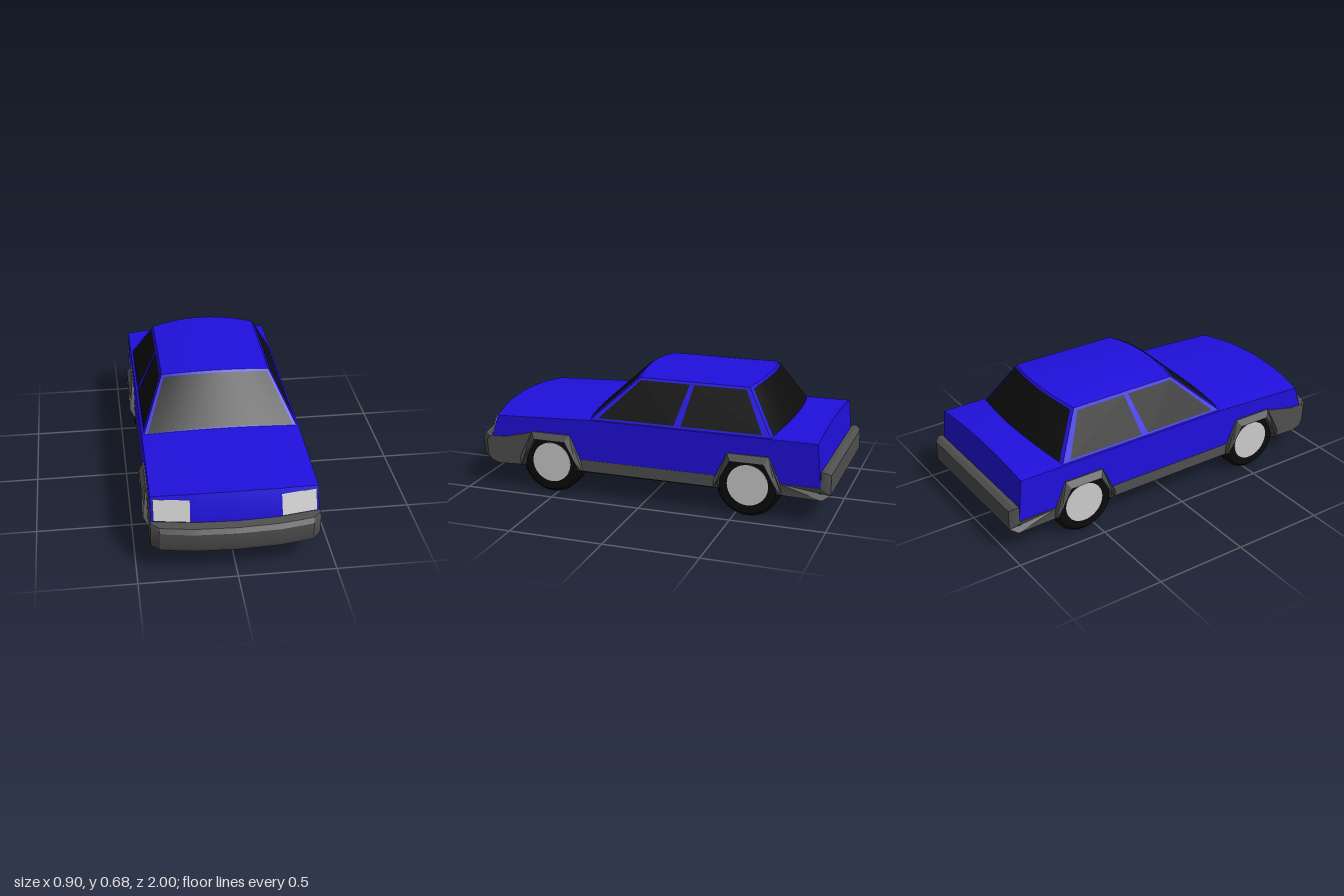
import * as THREE from 'three';
import { toCreasedNormals } from 'three/addons/utils/BufferGeometryUtils.js';

const mat = (color, side = THREE.FrontSide) => new THREE.MeshStandardMaterial({ color, side });
const paint = mat(0x2010dd), paintSheet = mat(0x2010dd, THREE.DoubleSide);
const trim = mat(0x505050), black = mat(0x0a0a0a), glass = mat(0x0d0d0d, THREE.DoubleSide);
const light = mat(0xcccccc), lampMat = mat(0xcccccc, THREE.DoubleSide);
const lerp = THREE.MathUtils.lerp;
const HALF = 0.42;
const WHEEL_Z = [0.53, -0.57];

function add(parent, name, geometry, material) {
  const mesh = new THREE.Mesh(geometry, material);
  mesh.name = name;
  parent.add(mesh);
  return mesh;
}

// Move every vertex by a rule
function deform(geometry, rule) {
  const p = geometry.attributes.position, v = new THREE.Vector3();
  for (let i = 0; i < p.count; i++) {
    rule(v.fromBufferAttribute(p, i));
    p.setXYZ(i, v.x, v.y, v.z);
  }
  return geometry;
}

// Extrude a side profile of [z, y] points across x
function acrossX(profile, x0, x1, steps, rule) {
  const shape = new THREE.Shape(profile.map(([z, y]) => new THREE.Vector2(z, y)));
  const g = new THREE.ExtrudeGeometry(shape, { depth: x1 - x0, steps, bevelEnabled: false });
  g.translate(0, 0, -x1).rotateY(-Math.PI / 2);
  if (rule) deform(g, rule);
  return toCreasedNormals(g, 0.5);
}

// Curved sheet from a function of u and v
function patch(fn, u0, u1, v0, v1, nu = 12, nv = 4) {
  const g = new THREE.PlaneGeometry(1, 1, nu, nv);
  deform(g, p => p.copy(fn(lerp(u0, u1, p.x + 0.5), lerp(v0, v1, p.y + 0.5))));
  g.computeVertexNormals();
  return g;
}

// How far the nose falls back from the centre towards its corners
function noseDrop(x) {
  const a = Math.abs(x) / HALF;
  return a < 0.5 ? 0.02 * a : 0.01 + 0.07 * (a - 0.5);
}

function buildBody(car) {
  const notch = c => [[c - 0.17, 0.2], [c - 0.1, 0.32], [c + 0.1, 0.32], [c + 0.17, 0.2]];
  const profile = [[-0.95, 0.2], ...notch(WHEEL_Z[1]), ...notch(WHEEL_Z[0]), [0.92, 0.2],
    [0.93, 0.285], [0.89, 0.405], [0.3, 0.43], [-0.68, 0.43], [-0.93, 0.43]];
  add(car, 'body', acrossX(profile, -HALF, HALF, 20, p => {
    const a = Math.abs(p.x) / HALF;
    if (p.y > 0.4) p.y += 0.027 * (1 - a * a);
    if (p.z > 0.8) p.z -= noseDrop(p.x);
  }), paint);

  // Underside with cut-outs for the wheels
  const half = [[0.2, 0.945], [0.37, 0.91], [0.41, 0.86], [0.41, 0.7], [0.3, 0.7], [0.3, 0.36],
    [0.41, 0.36], [0.41, -0.4], [0.3, -0.4], [0.3, -0.74], [0.41, -0.74], [0.41, -0.95]];
  const outline = [...half, ...half.map(([x, z]) => [-x, z]).reverse()];
  const floor = new THREE.ExtrudeGeometry(
    new THREE.Shape(outline.map(q => new THREE.Vector2(...q))), { depth: 0.13, bevelEnabled: false });
  add(car, 'underside', floor.rotateX(Math.PI / 2).translate(0, 0.262, 0), black);
}

function buildTrim(car) {
  const front = [[0.69, 0.14], [0.93, 0.132], [0.98, 0.15], [0.995, 0.18], [1, 0.26], [0.985, 0.285],
    [0.9, 0.287], [0.63, 0.33], [0.65, 0.26]];
  add(car, 'frontBumper', acrossX(front, -0.425, 0.425, 20, p => {
    if (p.z < 0.8) return;
    const corner = Math.max(0, Math.abs(p.x) - 0.38) / 0.045;
    p.z -= noseDrop(p.x) + 0.04 * corner;
  }), trim);

  const rear = [[-0.74, 0.2], [-0.95, 0.2], [-0.95, 0.285], [-0.975, 0.285], [-1, 0.268],
    [-1, 0.16], [-0.96, 0.135], [-0.74, 0.14]].reverse();
  add(car, 'rearBumper', acrossX(rear, -0.425, 0.425, 1, p => {
    if (p.z < -0.98) p.x *= 0.95;
  }), trim);

  add(car, 'sills', new THREE.BoxGeometry(0.844, 0.064, 0.76).translate(0, 0.172, -0.02), trim);
}

function buildWheels(car) {
  const outer = [[0.18, 0.14], [0.175, 0.19], [0.11, 0.335]];
  const inner = [[0.09, 0.3], [0.15, 0.19], [0.155, 0.14]];
  const mirror = pts => pts.map(([z, y]) => [-z, y]).reverse();
  const ring = [...outer, ...mirror(outer), ...mirror(inner), ...inner];
  const tyre = [[0.1, -0.056], [0.155, -0.056], [0.17, -0.042], [0.17, 0.042], [0.155, 0.056], [0.1, 0.056]];

  for (const z of WHEEL_Z) for (const s of [1, -1]) {
    const wheel = new THREE.Group();
    wheel.name = 'wheel';
    wheel.position.set(s * 0.362, 0.17, z);
    const tyreGeo = new THREE.LatheGeometry(tyre.map(q => new THREE.Vector2(...q)), 36);
    add(wheel, 'tyre', toCreasedNormals(tyreGeo.rotateZ(Math.PI / 2), 0.5), black);
    add(wheel, 'hub', new THREE.CylinderGeometry(0.11, 0.11, 0.116, 36).rotateZ(Math.PI / 2), light);
    car.add(wheel);

    // Flared arch, chamfered along its top and feet
    const [x0, x1] = s > 0 ? [0.3, 0.45] : [-0.45, -0.3];
    const arch = acrossX(ring, x0, x1, 1, p => {
      if (Math.abs(p.x) > 0.4 && (p.y < 0.15 || p.y > 0.33)) p.x = Math.sign(p.x) * 0.427;
    });
    add(car, 'wheelArch', arch.translate(0, 0, z), trim);
  }
}

function buildCabin(car) {
  const V = (x, y, z) => new THREE.Vector3(x, y, z);
  const bow = u => 1 - u * u;
  const width = v => lerp(0.41, 0.29, v);
  const height = (u, v) => lerp(0.428 + 0.028 * bow(u), 0.655 + 0.022 * bow(u), v);
  const screen = (u, v) => V(u * width(v), height(u, v),
    lerp(0.305 + 0.02 * bow(u), 0.06 + 0.025 * bow(u), v));
  const backlight = (u, v) => V(u * width(v), height(u, v),
    lerp(-0.685 - 0.045 * bow(u), -0.54 - 0.045 * bow(u), v));
  const flank = s => (u, v) => V(s * width(v), height(1, v),
    lerp(lerp(-0.685, -0.54, v), lerp(0.305, 0.06, v), u));
  const roof = (u, w) => {
    const p = screen(u, 1).lerp(backlight(u, 1), w);
    p.y += 0.007 * bow(u) * Math.sin(Math.PI * w);
    return p;
  };
  const proud = (fn, x, y, z) => (u, v) => fn(u, v).add(V(x, y, z));

  add(car, 'roof', patch(roof, -1, 1, 0, 1, 12, 8), paintSheet);
  add(car, 'windscreenFrame', patch(screen, -1, 1, 0, 1), paintSheet);
  add(car, 'windscreen', patch(proud(screen, 0, 0.003, 0.003), -0.95, 0.95, 0.02, 0.95), glass);
  add(car, 'rearWindowFrame', patch(backlight, -1, 1, 0, 1), paintSheet);
  add(car, 'rearWindow', patch(proud(backlight, 0, 0.002, -0.004), -0.95, 0.95, 0.02, 0.95), glass);
  for (const s of [1, -1]) {
    const side = flank(s), pane = proud(side, s * 0.004, 0.002, 0);
    add(car, 'cabinSide', patch(side, 0, 1, 0, 1, 1, 1), paintSheet);
    add(car, 'frontSideWindow', patch(pane, 0.53, 0.965, 0.06, 0.94, 1, 1), glass);
    add(car, 'rearSideWindow', patch(pane, 0.04, 0.49, 0.06, 0.94, 1, 1), glass);
  }

  // Headlights follow the slope and sweep of the nose
  for (const s of [1, -1]) {
    const lamp = (x, y) => V(s * x, y, lerp(0.93, 0.89, (y - 0.285) / 0.125) - noseDrop(x) + 0.008);
    add(car, 'headlight', patch(lamp, 0.228, 0.408, 0.292, 0.398, 1, 1), lampMat);
  }
}

export function createModel() {
  const car = new THREE.Group();
  car.name = 'car';
  buildBody(car);
  buildTrim(car);
  buildWheels(car);
  buildCabin(car);
  return car;
}
